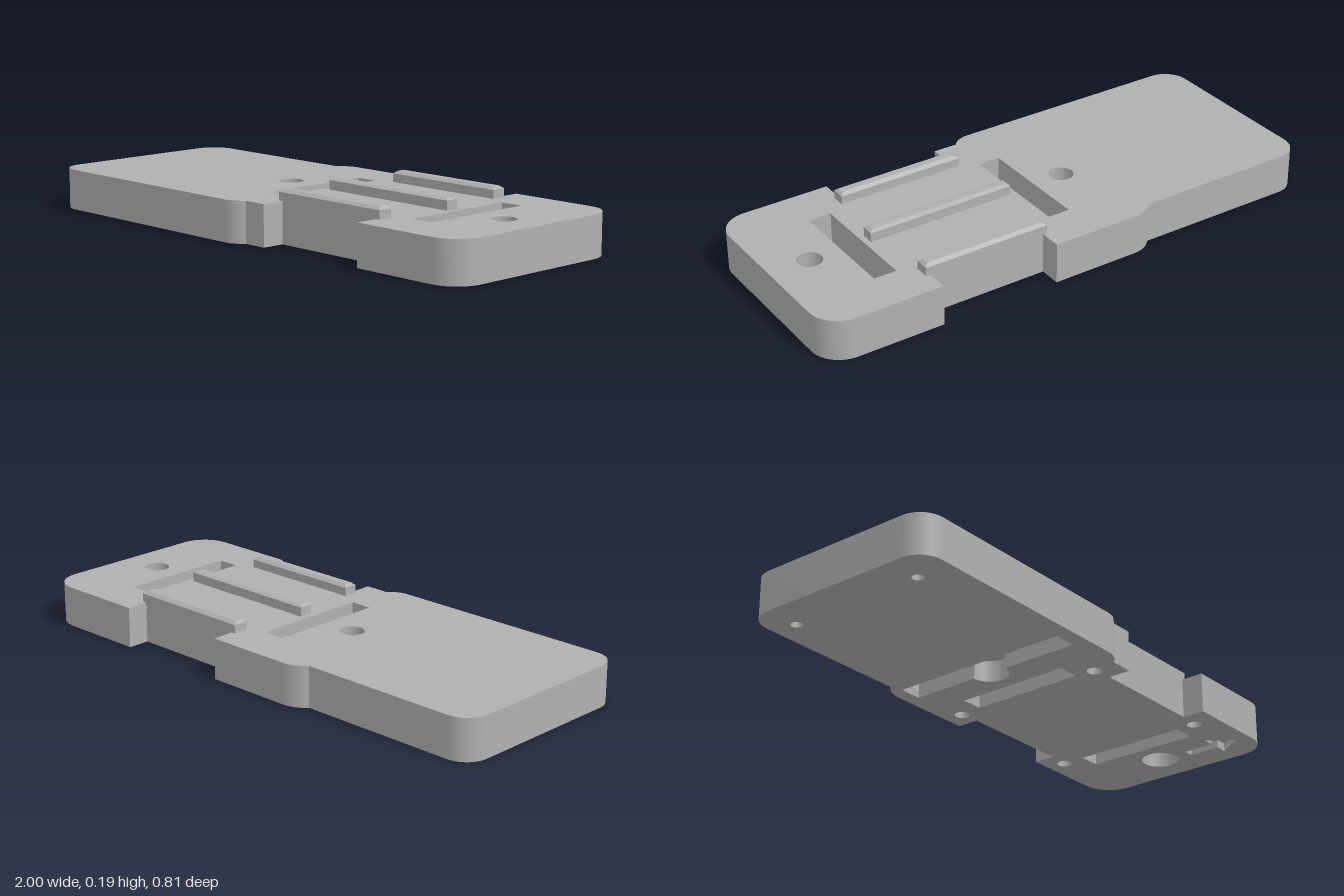
import * as THREE from 'three';
import { toCreasedNormals } from 'three/addons/utils/BufferGeometryUtils.js';

const H = 0.15;          // plate thickness
const POCKET = 0.08;     // depth of the pockets underneath
const PI = Math.PI;

// All outlines are written as (x, z) points, counter-clockwise.
const rect = (x0, x1, z0, z1) =>
  [[x0, z0], [x1, z0], [x1, z1], [x0, z1]].map(([x, z]) => new THREE.Vector2(x, z));

const arc = (x, z, r, a0 = 0, a1 = 2 * PI, n = 32) =>
  Array.from({ length: n }, (_, i) => {
    const a = a0 + (a1 - a0) * i / (a1 - a0 > 6 ? n : n - 1);
    return new THREE.Vector2(x + r * Math.cos(a), z + r * Math.sin(a));
  });

// Flat face at height y, facing up or down, with openings
function face(points, holes, y, up) {
  const shape = new THREE.Shape(points);
  shape.holes = holes.map((h) => new THREE.Path(h));
  const geo = new THREE.ShapeGeometry(shape);
  geo.rotateX(PI / 2).translate(0, y, 0);
  if (up) {
    geo.setIndex([...geo.index.array].reverse());
    geo.computeVertexNormals();
  }
  return geo;
}

// Upright wall along a closed outline; inward walls line an opening
function wall(points, y0, y1, inward = false) {
  const pts = inward ? [...points].reverse() : points;
  const pos = [];
  pts.forEach((p, i) => {
    const q = pts[(i + 1) % pts.length];
    const a = [p.x, y0, p.y], b = [q.x, y0, q.y], c = [q.x, y1, q.y], d = [p.x, y1, p.y];
    pos.push(...a, ...c, ...b, ...a, ...d, ...c);
  });
  const geo = new THREE.BufferGeometry();
  geo.setAttribute('position', new THREE.Float32BufferAttribute(pos, 3));
  return toCreasedNormals(geo, 0.5);
}

// Box whose top is drawn in by an inset
function taperedBox(w, h, d, inset) {
  const geo = new THREE.BoxGeometry(w, h, d);
  const p = geo.attributes.position;
  for (let i = 0; i < p.count; i++) {
    if (p.getY(i) > 0) {
      p.setX(i, p.getX(i) - Math.sign(p.getX(i)) * inset);
      p.setZ(i, p.getZ(i) - Math.sign(p.getZ(i)) * inset);
    }
  }
  geo.computeVertexNormals();
  return geo;
}

export function createModel() {
  const model = new THREE.Group();
  const grey = new THREE.MeshStandardMaterial({ color: 0xb0b0b0 });
  grey.name = 'grey';
  const add = (name, geo, parent = model) => {
    const mesh = new THREE.Mesh(geo, grey);
    mesh.name = name;
    parent.add(mesh);
    return mesh;
  };

  // Plate outline: wide body, offset clamp end and two side notches
  const v = (x, z) => new THREE.Vector2(x, z);
  const outline = [
    ...arc(-0.91, -0.275, 0.09, PI, 1.5 * PI, 12),
    ...arc(-0.22, -0.295, 0.11, PI + 0.69, 1.5 * PI, 8),
    v(0.112, -0.405), v(0.112, -0.323), v(0.562, -0.323), v(0.562, -0.405),
    ...arc(0.89, -0.295, 0.11, 1.5 * PI, 2 * PI, 12),
    ...arc(0.89, 0.26, 0.11, 0, PI / 2, 12),
    v(0.562, 0.37), v(0.562, 0.285), v(0.112, 0.285), v(0.112, 0.37),
    ...arc(-0.05, 0.315, 0.09, 0.657, PI / 2, 8),
    ...arc(-0.91, 0.315, 0.09, PI / 2, PI, 12),
  ];

  // Openings that go right through
  const slots = [rect(-0.053, 0.03, -0.24, 0.2), rect(0.642, 0.727, -0.24, 0.2)];
  const boltHoles = [arc(-0.175, -0.02, 0.045), arc(0.845, -0.02, 0.045)];

  // Bolt head recesses; the inner one opens into a long cross pocket
  const crossPocket = [
    v(-0.262, -0.35), v(-0.175, -0.35),
    ...arc(-0.175, -0.02, 0.07, -PI / 2, PI / 2, 16),
    v(-0.175, 0.345), v(-0.262, 0.345),
  ];
  const recesses = [crossPocket, arc(0.845, -0.02, 0.07)];

  // Blind holes and the arrow mark underneath
  const blind = [
    [0.645, -0.33, 0.028], [0.645, 0.275, 0.028], [0.04, -0.33, 0.028],
    [0.04, 0.275, 0.028], [-0.868, -0.268, 0.021], [-0.868, 0.268, 0.021],
  ].map(([x, z, r]) => arc(x, z, r, 0, 2 * PI, 24));
  const arrow = [
    v(0.84, 0.1), v(0.88, 0.1), v(0.88, 0.22), v(0.925, 0.22),
    v(0.86, 0.315), v(0.795, 0.22), v(0.84, 0.22),
  ];

  const plate = new THREE.Group();
  plate.name = 'plate';
  model.add(plate);
  add('plateTop', face(outline, [...slots, ...boltHoles], H, true), plate);
  add('plateBottom', face(outline, [...slots, ...recesses, ...blind, arrow], 0, false), plate);
  add('plateSide', wall(outline, 0, H), plate);
  slots.forEach((s) => add('slotWall', wall(s, 0, H, true), plate));
  recesses.forEach((r, i) => {
    add('recessWall', wall(r, 0, POCKET, true), plate);
    add('recessCeiling', face(r, [boltHoles[i]], POCKET, false), plate);
    add('boltHoleWall', wall(boltHoles[i], POCKET, H, true), plate);
  });
  const closedPocket = (name, pts, depth) => {
    add(name + 'Wall', wall(pts, 0, depth, true), plate);
    add(name + 'Ceiling', face(pts, [], depth, false), plate);
  };
  blind.forEach((b) => closedPocket('blindHole', b, 0.1));
  closedPocket('arrowMark', arrow, 0.03);

  // Three grip ribs with chamfered tops
  [
    [0.096, 0.578, -0.323, -0.268, 0.181],
    [0.055, 0.62, -0.04, 0.009, 0.184],
    [0.096, 0.578, 0.232, 0.285, 0.181],
  ].forEach(([x0, x1, z0, z1, shoulder]) => {
    const rib = new THREE.Group();
    rib.name = 'rib';
    rib.position.set((x0 + x1) / 2, 0, (z0 + z1) / 2);
    model.add(rib);
    const w = x1 - x0, d = z1 - z0, top = 0.191;
    add('ribBody', new THREE.BoxGeometry(w, shoulder - H, d), rib).position.y = (H + shoulder) / 2;
    add('ribChamfer', taperedBox(w, top - shoulder, d, 0.013), rib).position.y = (shoulder + top) / 2;
  });

  return model;
}
